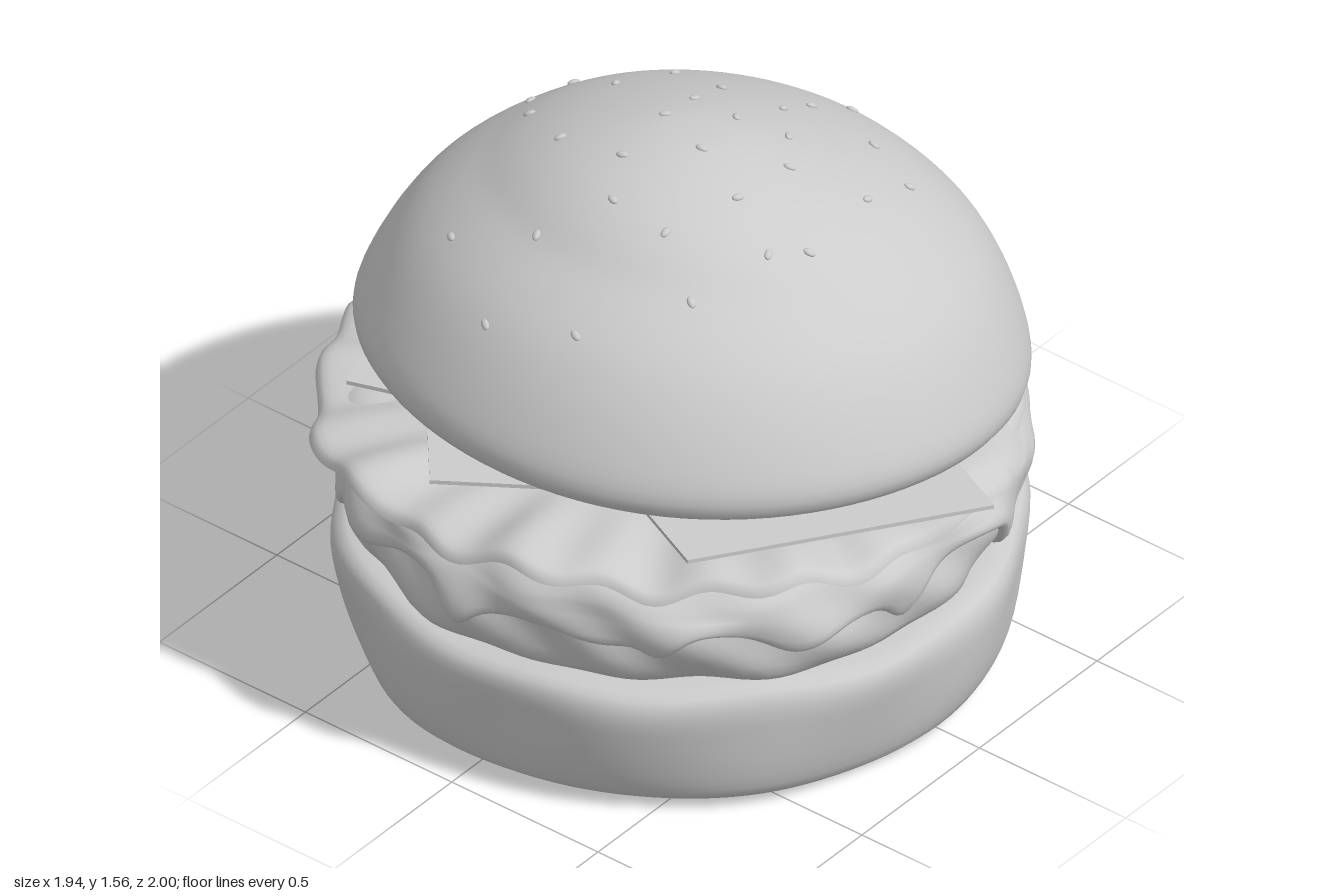
import * as THREE from 'three';
import { mergeVertices } from 'three/addons/utils/BufferGeometryUtils.js';

const { sin, cos, exp, hypot, atan2, PI } = Math;
const smooth = THREE.MathUtils.smoothstep;

const material = new THREE.MeshStandardMaterial({ color: 0xcccccc });
const sheetMaterial = new THREE.MeshStandardMaterial({ color: 0xcccccc, side: THREE.DoubleSide });

// Smooth [radius, height] profile running from the bottom axis to the top axis
function smoothProfile(points, n = 60) {
  const curve = new THREE.CatmullRomCurve3(points.map(([r, y]) => new THREE.Vector3(r, y, 0)));
  return curve.getSpacedPoints(n).map((p) => new THREE.Vector2(Math.max(p.x, 0), p.y));
}

// Turned shape whose points are then moved by a rule: shape(point, angle, radius)
function turned(name, profile, segments, shape, mat = material) {
  let g = new THREE.LatheGeometry(profile, segments);
  g.deleteAttribute('uv');
  g.deleteAttribute('normal');
  g = mergeVertices(g, 1e-4);
  const pos = g.attributes.position;
  const p = new THREE.Vector3();
  for (let i = 0; i < pos.count; i++) {
    p.fromBufferAttribute(pos, i);
    shape(p, atan2(p.x, p.z), hypot(p.x, p.z));
    pos.setXYZ(i, p.x, p.y, p.z);
  }
  g.computeVertexNormals();
  const mesh = new THREE.Mesh(g, mat);
  mesh.name = name;
  return mesh;
}

function scaleRadius(p, k) {
  p.x *= k;
  p.z *= k;
}

// Uneven meat surface, shared with the melted layer lying on it
const meatLumps = (a, y) =>
  0.014 * sin(5 * a + 9 * y) + 0.012 * sin(11 * a - 14 * y + 1) + 0.009 * sin(17 * a + 25 * y + 2);

// Drips of the melted layer: [angle, depth, width]
const drips = [
  [0.33, 0.1, 0.05], [-0.17, 0.07, 0.07], [-0.55, 0.04, 0.1], [-0.95, 0.06, 0.06], [1.13, 0.08, 0.05],
  [1.6, 0.07, 0.06], [2.25, 0.07, 0.09], [2.8, 0.09, 0.06], [-2.85, 0.06, 0.08], [-2.3, 0.1, 0.06], [-1.6, 0.08, 0.07],
];
function dripEdge(a) {
  let y = 0.575 + 0.022 * sin(7 * a + 1) + 0.015 * sin(13 * a);
  for (const [at, depth, width] of drips) y -= depth * exp(-(((a - at) / width) ** 2));
  return y;
}

// Thin square slice, sloping down towards +x
function slice(x, z, turn, size, y) {
  const g = new THREE.BoxGeometry(size, 0.012, size).rotateY(turn).translate(x, y, z);
  const pos = g.attributes.position;
  for (let i = 0; i < pos.count; i++) pos.setY(i, pos.getY(i) - 0.12 * pos.getX(i));
  g.computeVertexNormals();
  const mesh = new THREE.Mesh(g, material);
  mesh.name = 'slice';
  return mesh;
}

// Seeds of the top bun as x, z pairs
const seedSpots = [
  0.12, -0.63, 0.29, -0.62, -0.01, -0.53, 0.61, -0.53, -0.48, -0.42, 0.22, -0.42, 0.41, -0.37, -0.14, -0.32,
  0.72, -0.3, 0.37, -0.18, -0.67, -0.15, -0.44, -0.16, 0.22, -0.15, 0.07, -0.13, -0.15, -0.1, -0.29, -0.02,
  0.21, 0, 0.41, 0, 0.53, 0, 0.69, 0.01, 0, 0.05, -0.61, 0.11, 0.27, 0.13, -0.29, 0.16, -0.07, 0.23,
  0.15, 0.23, 0.52, 0.22, -0.38, 0.32, -0.14, 0.39, 0.27, 0.4, 0.46, 0.39, -0.04, 0.45,
];

function createTopBun() {
  const tilt = 0.14, cx = 0.05, cy = 0.81, cz = -0.03;
  const profile = smoothProfile([
    [0, 0], [0.6, 0], [0.83, -0.01], [0.885, 0.01], [0.908, 0.06], [0.875, 0.18], [0.765, 0.37],
    [0.57, 0.54], [0.42, 0.625], [0.25, 0.69], [0.1, 0.725], [0, 0.73],
  ], 80);
  const crownShift = (h) => -0.1 * smooth(h, 0.5, 0.73);

  const bun = new THREE.Group();
  bun.name = 'topBun';
  bun.add(turned('topBunDome', profile, 96, (p, a) => {
    p.x += crownShift(p.y);
    // Slightly wavy rim
    p.y += 0.012 * sin(3 * a + 1.7) * smooth(hypot(p.x, p.z), 0.5, 0.9) * (1 - smooth(p.y, 0, 0.25));
  }));

  // Height of the dome at a given radius
  const heightAt = (r) => {
    let i = profile.length - 1;
    while (i > 1 && profile[i - 1].x < r) i--;
    const a = profile[i], b = profile[i - 1];
    return a.y + ((b.y - a.y) * (r - a.x)) / (b.x - a.x);
  };
  const seedGeometry = new THREE.SphereGeometry(1, 12, 8).scale(0.018, 0.008, 0.011);
  const up = new THREE.Vector3(0, 1, 0);
  for (let i = 0; i < seedSpots.length; i += 2) {
    const z = seedSpots[i + 1] - cz;
    let h = 0.6, x = 0, r = 0;
    for (let k = 0; k < 12; k++) {
      x = (seedSpots[i] - cx - h * sin(tilt)) / cos(tilt);
      r = Math.min(hypot(x - crownShift(h), z), 0.85);
      h = 0.5 * (h + heightAt(r));
    }
    const slope = (heightAt(Math.max(r - 0.02, 0)) - heightAt(r + 0.02)) / 0.04;
    const ox = x - crownShift(h);
    const normal = new THREE.Vector3((slope * ox) / (r || 1), 1, (slope * z) / (r || 1)).normalize();
    const seed = new THREE.Mesh(seedGeometry, material);
    seed.name = 'seed';
    seed.position.set(x, h, z).addScaledVector(normal, 0.002);
    seed.quaternion.setFromUnitVectors(up, normal);
    seed.rotateY(i * 1.3);
    bun.add(seed);
  }
  bun.position.set(cx, cy, cz);
  bun.rotation.z = -tilt;
  return bun;
}

export function createModel() {
  const model = new THREE.Group();
  model.name = 'burger';

  // Bottom bun with a soft, uneven side
  const base = smoothProfile([
    [0, 0.02], [0.6, 0.015], [0.82, 0.015], [0.87, 0.03], [0.895, 0.08], [0.925, 0.24],
    [0.932, 0.34], [0.915, 0.385], [0.85, 0.4], [0, 0.4],
  ], 80);
  const bottomBun = turned('bottomBun', base, 128, (p, a, r) => {
    const edge = smooth(r, 0.3, 0.9);
    scaleRadius(p, 1 + edge * (0.008 * sin(6 * a + 5 * p.y) + 0.006 * sin(10 * a - 8 * p.y + 2)));
    p.y += edge * (0.006 * sin(5 * a) + 0.004 * sin(9 * a + 1));
  });

  // Lumpy patty
  const meat = smoothProfile([
    [0, 0.39], [0.78, 0.39], [0.87, 0.42], [0.905, 0.49], [0.905, 0.58], [0.88, 0.65], [0.8, 0.7], [0, 0.7],
  ]);
  const patty = turned('patty', meat, 160, (p, a, r) => {
    scaleRadius(p, 1 + meatLumps(a, p.y) * smooth(r, 0.3, 0.85));
  });

  // Melted layer, its lower lip pulled down into drips
  const melt = smoothProfile([
    [0.86, 0.57], [0.905, 0.555], [0.928, 0.565], [0.933, 0.6], [0.925, 0.64], [0.9, 0.685],
    [0.84, 0.725], [0.6, 0.735], [0, 0.735],
  ], 70);
  const meltedCheese = turned('meltedCheese', melt, 260, (p, a, r) => {
    if (p.y < 0.66) p.y = 0.66 - ((0.66 - p.y) / 0.105) * (0.66 - dripEdge(a));
    else p.y += 0.01 * sin(9 * a) * smooth(r, 0.4, 0.85);
    scaleRadius(p, 1 + meatLumps(a, p.y) * smooth(r, 0.3, 0.85));
  }, sheetMaterial);
  for (const part of [bottomBun, patty, meltedCheese]) part.position.x = -0.028;

  // Ruffled leaf, widest at the back right and rising towards -x
  const leaf = smoothProfile([[0.93, 0.69], [0.92, 0.715], [0.85, 0.735], [0.5, 0.74], [0, 0.74]], 50);
  const lettuce = turned('lettuce', leaf, 220, (p, a, r) => {
    const rim = smooth(r, 0.45, 0.92);
    const back = Math.max(0, cos(a + PI * 0.76)) ** 3;
    scaleRadius(p, 1 + rim * (0.015 * sin(8 * a) + 0.012 * sin(19 * a + 1) + 0.07 * back - 0.01));
    p.y += -0.06 * p.x + rim * (0.02 * sin(9 * a + 1) + 0.014 * sin(21 * a) - 0.03 * back);
  }, sheetMaterial);
  lettuce.position.x = -0.03;

  // Thin slices peeking out under the top bun
  const slices = new THREE.Group();
  slices.name = 'slices';
  slices.add(
    slice(-0.145, 0.4, -0.46, 0.9, 0.777),
    slice(-0.035, -0.415, 0.38, 0.9, 0.725),
    slice(-0.36, -0.12, 0.7, 0.75, 0.75),
  );

  model.add(bottomBun, patty, meltedCheese, lettuce, slices, createTopBun());
  return model;
}
